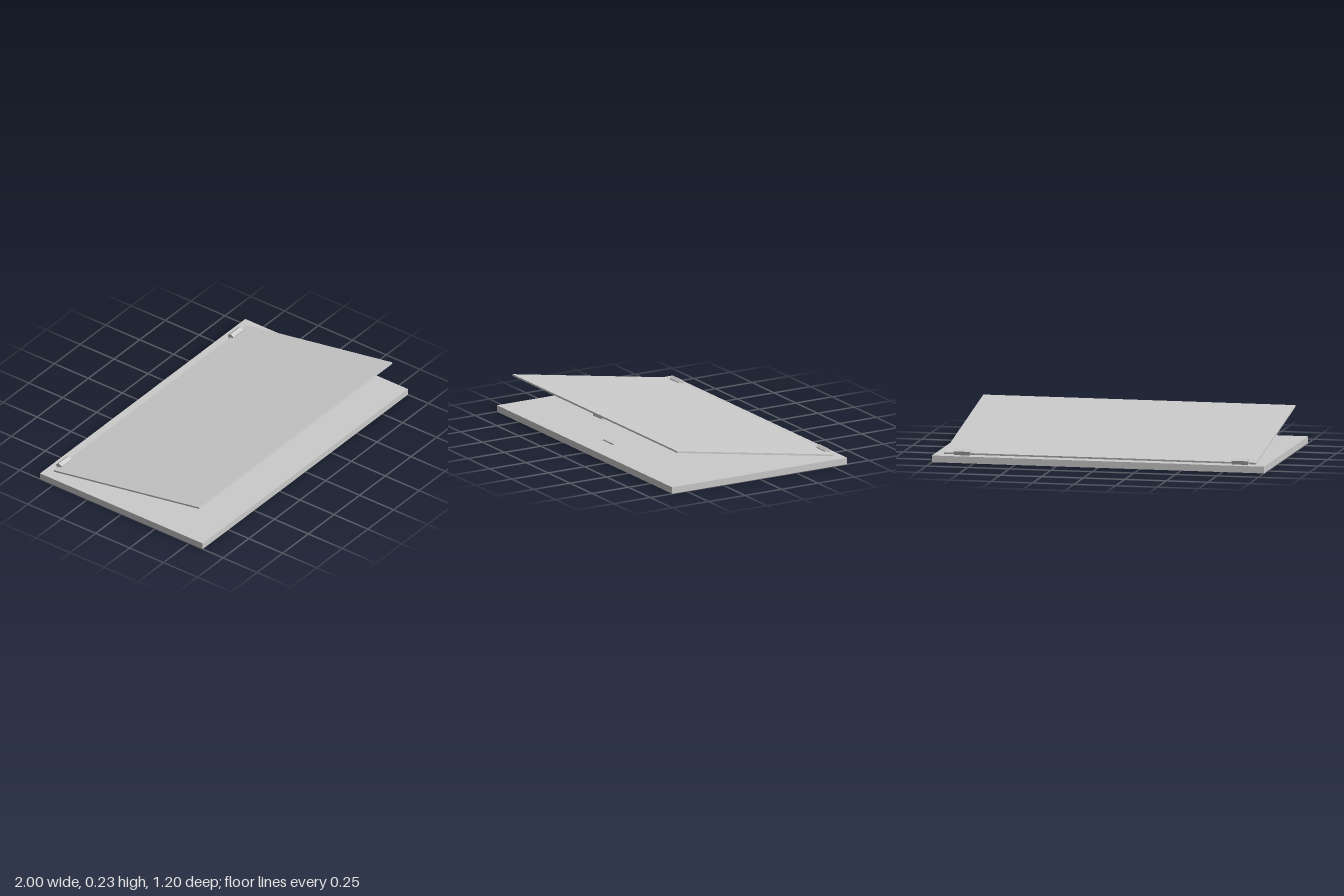
import * as THREE from 'three';

const material = new THREE.MeshStandardMaterial({ color: 0xcccccc, flatShading: true });

function part(name, geometry, parent, x = 0, y = 0, z = 0) {
  const mesh = new THREE.Mesh(geometry, material);
  mesh.name = name;
  mesh.position.set(x, y, z);
  parent.add(mesh);
  return mesh;
}

// Closed rectangle in plan; shape y becomes -z once the plate is laid flat
function rectangle(PathType, x0, x1, z0, z1) {
  const path = new PathType();
  path.moveTo(x0, -z0);
  path.lineTo(x1, -z0);
  path.lineTo(x1, -z1);
  path.lineTo(x0, -z1);
  path.closePath();
  return path;
}

export function createModel() {
  const model = new THREE.Group();
  model.name = 'hingedPanel';

  const height = 0.04;
  const floor = 0.015;

  // Base: solid floor below a deck with a shallow tray and a latch slot cut in
  const base = new THREE.Group();
  base.name = 'base';
  model.add(base);
  part('baseFloor', new THREE.BoxGeometry(2, floor, 1.2), base, 0, floor / 2, 0);

  const outline = rectangle(THREE.Shape, -1, 1, -0.6, 0.6);
  outline.holes.push(
    rectangle(THREE.Path, -0.815, 0.815, -0.4, 0.4),
    rectangle(THREE.Path, -0.06, 0.06, 0.43, 0.53)
  );
  const deck = new THREE.ExtrudeGeometry(outline, { depth: height - floor, bevelEnabled: false });
  deck.rotateX(-Math.PI / 2);
  part('baseDeck', deck, base, 0, floor, 0);

  // Lid, propped open about its back edge, with a latch tab underneath
  const lid = new THREE.Group();
  lid.name = 'lid';
  lid.position.set(0, 0.048, -0.543);
  lid.rotation.x = -0.1676;
  model.add(lid);
  const lidLength = 1.087;
  part('lidPanel', new THREE.BoxGeometry(1.88, 0.01, lidLength), lid, 0, 0, lidLength / 2);
  part('latchTab', new THREE.BoxGeometry(0.1, 0.018, 0.087), lid, 0, -0.014, 1.024);

  // Five-sided hinge barrels lying along x, apex up
  const barrel = new THREE.CylinderGeometry(0.0215, 0.0215, 0.098, 5);
  barrel.rotateX(-Math.PI / 2);
  barrel.rotateY(Math.PI / 2);
  part('leftHinge', barrel, model, 0.828, 0.056, -0.541);
  part('rightHinge', barrel, model, -0.845, 0.056, -0.541);

  return model;
}
